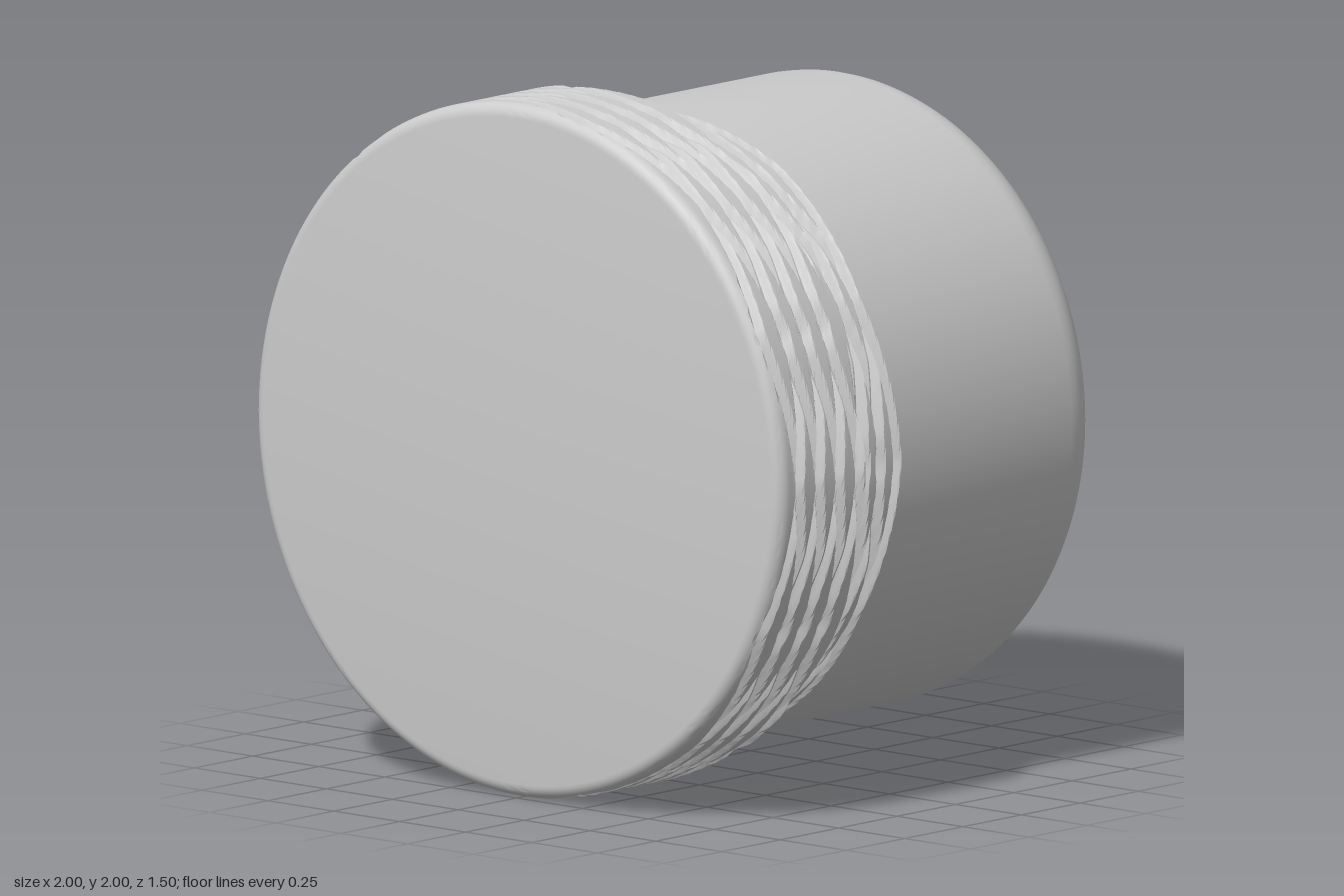
import * as THREE from 'three';
import { toCreasedNormals } from 'three/addons/utils/BufferGeometryUtils.js';

const SEGMENTS = 252; // divisible by both groove patterns

// straight run of profile points at one radius
const rows = (r, z0, z1, n) =>
  Array.from({ length: n + 1 }, (_, i) => [r, z0 + ((z1 - z0) * i) / n]);

// rounded corner, from angle a0 to a1
const fillet = (cr, cz, rad, a0, a1, n = 9) =>
  Array.from({ length: n + 1 }, (_, i) => {
    const a = a0 + ((a1 - a0) * i) / n;
    return [cr + rad * Math.cos(a), cz + rad * Math.sin(a)];
  });

// Turned solid along z, with pairs of crossing zigzag V grooves cut into its wall
function turnedPart(name, profile, g) {
  const geo = new THREE.LatheGeometry(profile.map(([r, z]) => new THREE.Vector2(r, z)), SEGMENTS);
  geo.rotateX(Math.PI / 2);
  const p = geo.attributes.position;
  for (let i = 0; i < p.count; i++) {
    const x = p.getX(i), y = p.getY(i), z = p.getZ(i);
    const r = Math.hypot(x, y);
    if (r < g.radius - 0.02 || z < g.from || z > g.to) continue;
    const u = (Math.atan2(y, x) * g.lobes) / (2 * Math.PI) + g.shift;
    const swing = g.amplitude * (1 - Math.abs(2 * (u - Math.floor(u)) - 1));
    let cut = 0;
    for (const c of g.centres) {
      for (const s of [-1, 1]) {
        cut = Math.max(cut, 1 - Math.abs(z - c - s * swing) / g.halfWidth);
      }
    }
    const k = (r - g.depth * Math.min(1, cut * 1.2)) / r;
    p.setXY(i, x * k, y * k);
  }
  const mesh = new THREE.Mesh(
    toCreasedNormals(geo, 0.4),
    new THREE.MeshStandardMaterial({ color: 0xcccccc })
  );
  mesh.name = name;
  mesh.position.y = 1;
  return mesh;
}

export function createModel() {
  const group = new THREE.Group();
  group.name = 'knurledCap';

  // wide front collar with a softly rounded front edge
  group.add(turnedPart('collar', [
    [0.8, 0.385], [1, 0.385],
    ...rows(1, 0.385, 0.71, 65).slice(1),
    ...fillet(0.96, 0.71, 0.04, 0, Math.PI / 2, 6).slice(1),
    [0, 0.75],
  ], {
    radius: 1, from: 0.38, to: 0.74, lobes: 7, shift: 0, amplitude: 0.05,
    centres: [0.665, 0.58, 0.495, 0.41], halfWidth: 0.017, depth: 0.025,
  }));

  // narrower barrel with a large rounded back edge
  group.add(turnedPart('barrel', [
    [0, -0.75],
    ...fillet(0.76, -0.6, 0.15, -Math.PI / 2, 0),
    ...rows(0.91, 0.12, 0.4, 56),
  ], {
    radius: 0.91, from: 0.12, to: 0.41, lobes: 6, shift: 0.5, amplitude: 0.038,
    centres: [0.185, 0.25, 0.315, 0.38], halfWidth: 0.016, depth: 0.03,
  }));

  return group;
}
